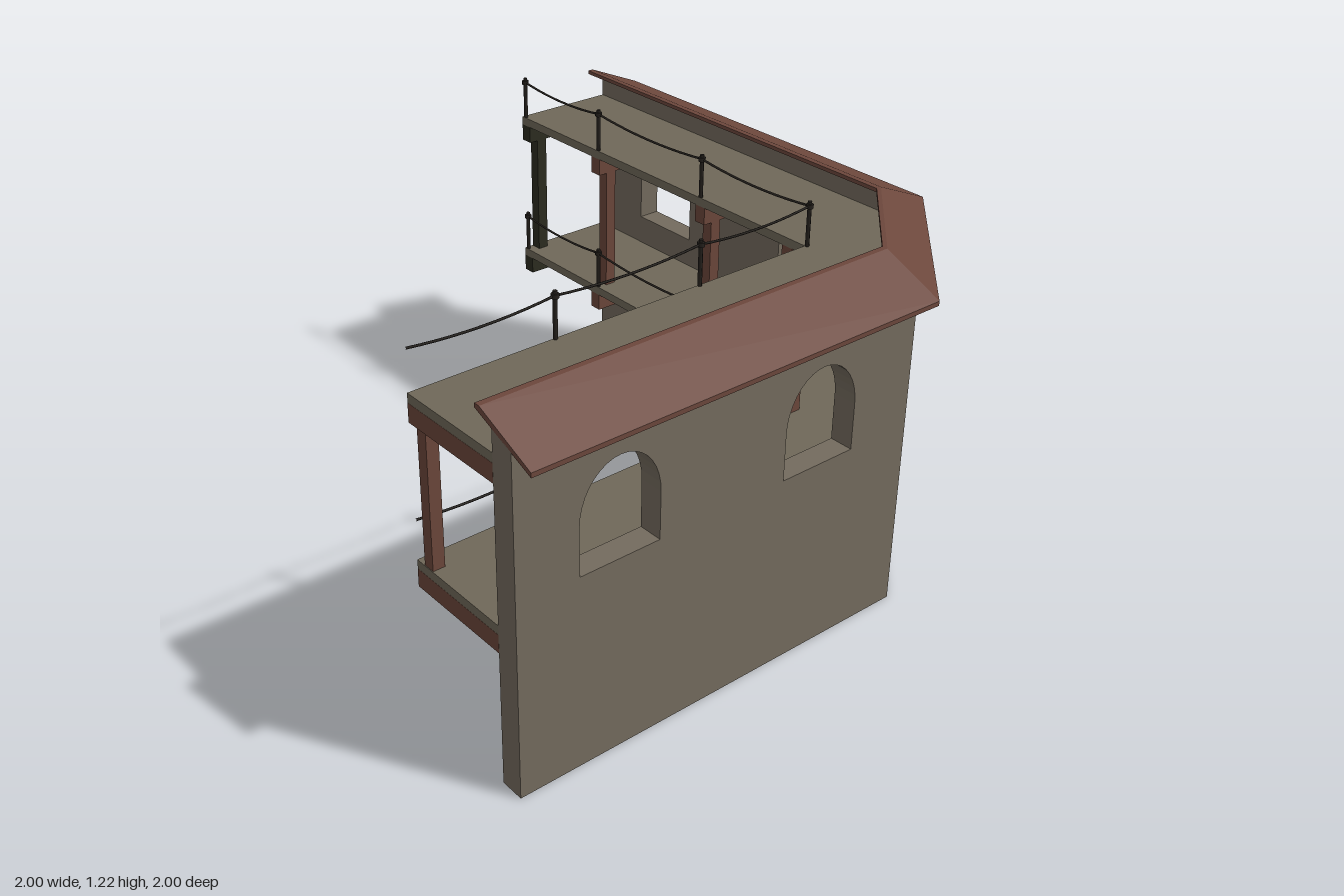
import * as THREE from 'three';

const mat = (name, color, side = THREE.FrontSide) => {
  const m = new THREE.MeshStandardMaterial({ color, side });
  m.name = name;
  return m;
};

export function createModel() {
  const stone = mat('stone', 0x746b5e);
  const roofRed = mat('roofRed', 0x6c473c);
  const plank = mat('plank', 0x6f6859);
  const timber = mat('timber', 0x6c473b);
  const darkWood = mat('darkWood', 0x2c2c20);
  const iron = mat('iron', 0x25211d);

  const root = new THREE.Group();
  root.name = 'cornerWall';
  const add = (name, geo, material, parent = root) => {
    const m = new THREE.Mesh(geo, material);
    m.name = name;
    parent.add(m);
    return m;
  };
  const box = (name, m, w, h, d, x, y, z) =>
    add(name, new THREE.BoxGeometry(w, h, d).translate(x, y, z), m);

  // Sweep a convex (distance out, height) section around the corner
  const BEND = 0.46;
  const stations = [
    (d, y) => [-1, y, d], (d, y) => [BEND, y, d],
    (d, y) => [d, y, BEND], (d, y) => [d, y, -1],
  ];
  function sweep(profile, from = 0, to = 3) {
    const pos = [], n = profile.length;
    const p = (s, i) => stations[s](...profile[i % n]);
    const tri = (a, b, c) => pos.push(...a, ...b, ...c);
    for (let s = from; s < to; s++) {
      for (let i = 0; i < n; i++) {
        tri(p(s, i), p(s + 1, i), p(s, i + 1));
        tri(p(s + 1, i), p(s + 1, i + 1), p(s, i + 1));
      }
    }
    for (let i = 1; i < n - 1; i++) {
      tri(p(from, 0), p(from, i), p(from, i + 1));
      tri(p(to, 0), p(to, i + 1), p(to, i));
    }
    const g = new THREE.BufferGeometry();
    g.setAttribute('position', new THREE.Float32BufferAttribute(pos, 3));
    g.computeVertexNormals();
    return g;
  }

  // Straight walls with arched windows
  const IN = 0.84, OUT = 0.92, TOP = 1.06;
  function wall(u0, u1, centres) {
    const s = new THREE.Shape();
    s.moveTo(u0, 0).lineTo(u1, 0).lineTo(u1, TOP).lineTo(u0, TOP).closePath();
    for (const c of centres) {
      const r = 0.138, h = new THREE.Path();
      h.moveTo(c - r, 0.645).lineTo(c + r, 0.645).lineTo(c + r, 0.8);
      h.absellipse(c, 0.8, r, 0.17, 0, Math.PI, false);
      h.closePath();
      s.holes.push(h);
    }
    return new THREE.ExtrudeGeometry(s, { depth: OUT - IN, bevelEnabled: false, curveSegments: 9 })
      .translate(0, 0, IN);
  }
  add('frontWall', wall(-1, BEND, [-0.653, 0.088]), stone);
  add('leftWall', wall(-BEND, 1, [-0.115, 0.627]).rotateY(Math.PI / 2), stone);
  add('cornerWallPanel', sweep([[IN, 0], [OUT, 0], [OUT, TOP], [IN, TOP]], 1, 2), stone);
  add('wallCrown', sweep([[IN, TOP], [OUT, TOP], [OUT, 1.11], [IN, 1.143]]), stone);

  // Sloping roof
  add('roof', sweep([[1, 1.075], [1, 1.09], [0.79, 1.18], [0.77, 1.18], [0.77, 1.167]]), roofRed);

  // Two walkways, each with joists, rail posts and sagging ropes
  const deckShape = new THREE.Shape([
    [-1, 0.46], [0.46, 0.46], [0.46, -1], [IN, -1], [IN, BEND], [BEND, IN], [-1, IN],
  ].map(([x, z]) => new THREE.Vector2(x, z)));
  const frontPosts = [-0.978, -0.512, 0.035, 0.385];
  const sidePosts = [-0.978, -0.572, -0.022, 0.385];
  const W = 0.045, EDGE = 0.465;

  function rope(a, b, y) {
    const mid = a.clone().add(b).multiplyScalar(0.5);
    a.y = b.y = y;
    mid.y = y - 0.03;
    add('rope', new THREE.TubeGeometry(new THREE.QuadraticBezierCurve3(a, mid, b), 10, 0.004, 5), iron);
  }

  for (const deckTop of [0.54, 1.07]) {
    add('walkway', new THREE.ExtrudeGeometry(deckShape, { depth: 0.03, bevelEnabled: false })
      .rotateX(Math.PI / 2).translate(0, deckTop, 0), plank);

    const jy = deckTop - 0.06;
    for (const x of frontPosts) box('joist', timber, W, 0.06, 0.38, x, jy, 0.65);
    for (const z of sidePosts) {
      box('joist', z < -0.9 ? darkWood : timber, 0.38, 0.06, W, 0.65, jy, z);
    }
    // Dark cap on the open end of the front walkway
    box('joistCap', darkWood, 0.004, 0.06, 0.38, -1.0, jy, 0.65).position.x = 0.002;

    const railTop = deckTop + 0.15;
    const frontRail = [-1, -0.515, 0.02, EDGE], sideRail = [-0.985, -0.56, -0.025, EDGE];
    const railPost = (x, z) => {
      add('railPost', new THREE.CylinderGeometry(0.007, 0.007, 0.15, 6)
        .translate(x, deckTop + 0.075, z), iron);
      add('railKnob', new THREE.CylinderGeometry(0.012, 0.012, 0.014, 8)
        .translate(x, railTop - 0.016, z), iron);
    };
    frontRail.slice(1).forEach((x) => railPost(x, EDGE));
    sideRail.slice(0, 3).forEach((z) => railPost(EDGE, z));
    for (let i = 0; i < 3; i++) {
      rope(new THREE.Vector3(frontRail[i], 0, EDGE), new THREE.Vector3(frontRail[i + 1], 0, EDGE), railTop - 0.016);
      rope(new THREE.Vector3(EDGE, 0, sideRail[i]), new THREE.Vector3(EDGE, 0, sideRail[i + 1]), railTop - 0.016);
    }
  }

  // Posts holding up the upper walkway
  for (const x of frontPosts) box('supportPost', timber, W - 0.005, 0.46, 0.04, x, 0.76, 0.515);
  for (const z of sidePosts) {
    box('supportPost', z < -0.9 ? darkWood : timber, 0.04, 0.46, W - 0.005, 0.515, 0.76, z);
  }

  return root;
}
